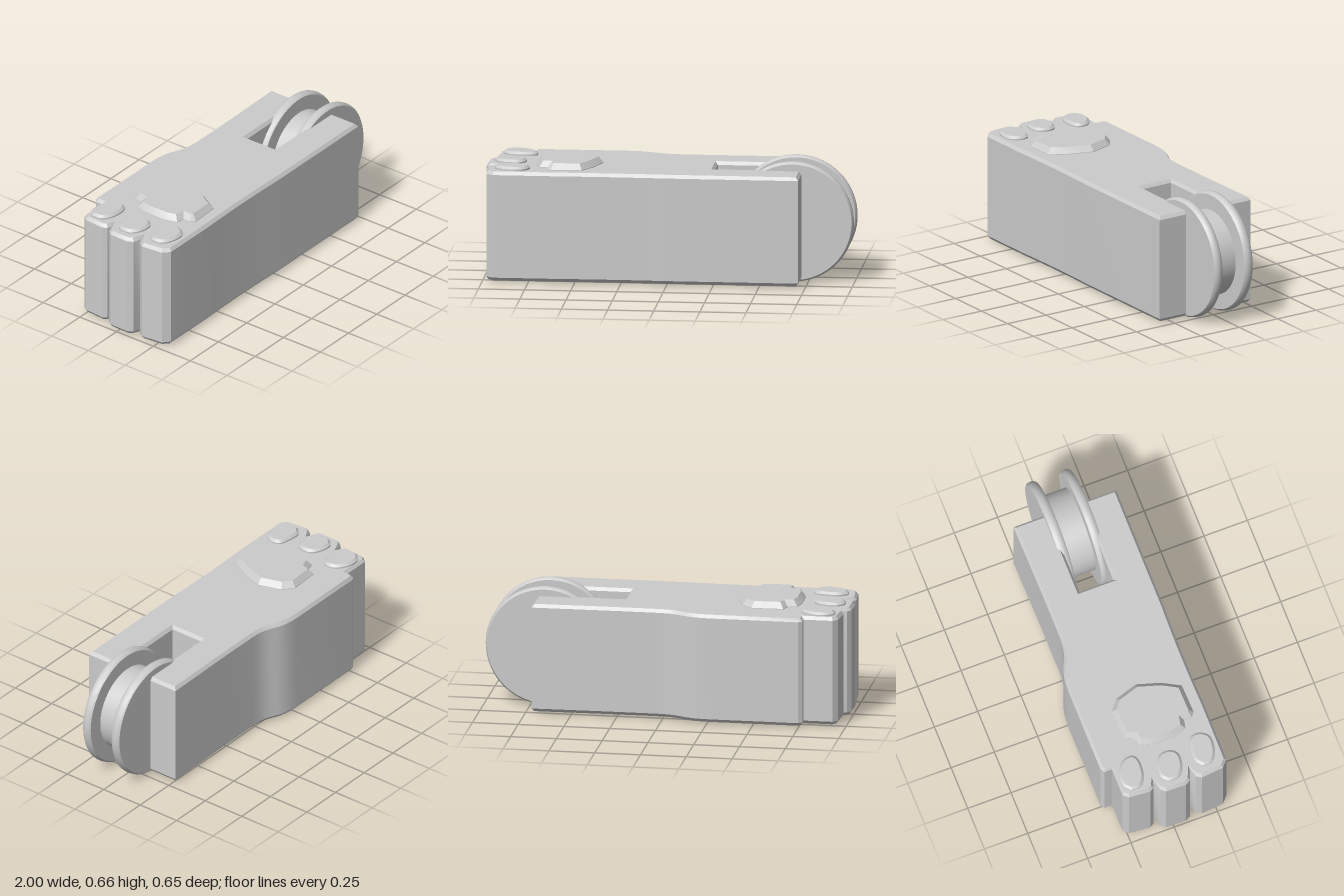
import * as THREE from 'three';
import { toCreasedNormals } from 'three/addons/utils/BufferGeometryUtils.js';

const grey = new THREE.MeshStandardMaterial({ color: 0xcccccc });

function mesh(name, geometry, crease = 0.6) {
  const m = new THREE.Mesh(toCreasedNormals(geometry, crease), grey);
  m.name = name;
  return m;
}

// Upright slab from a plan outline in (x, z), between two heights, with bevelled rims
function slab(shape, bottom, top, bevel, rise, bevelSegments = 1) {
  const g = new THREE.ExtrudeGeometry(shape, {
    depth: top - bottom - 2 * rise, curveSegments: 10, bevelEnabled: true,
    bevelSize: bevel, bevelOffset: -bevel, bevelThickness: rise, bevelSegments,
  });
  g.rotateX(Math.PI / 2);
  g.translate(0, top - rise, 0);
  return g;
}

const vecs = (list) => list.map(([x, z]) => new THREE.Vector2(x, z));

// Block with three toes at one end and a wheel slot at the other
function bodyShape() {
  const s = new THREE.Shape();
  s.moveTo(0.715, 0.325);
  s.lineTo(0.715, 0.125);
  s.lineTo(0.24, 0.125);
  s.lineTo(0.24, -0.07);
  s.lineTo(0.715, -0.07);
  s.lineTo(0.715, -0.268);
  s.lineTo(0.3, -0.262);
  s.lineTo(0.04, -0.262);
  s.bezierCurveTo(-0.12, -0.262, -0.1, -0.33, -0.27, -0.33);
  s.lineTo(-0.75, -0.33);
  s.lineTo(-0.772, -0.315);
  s.lineTo(-0.772, -0.272);
  const toes = [
    [-0.93, -0.272], [-0.955, -0.245], [-0.965, -0.125], [-0.95, -0.1],
    [-0.915, -0.09], [-0.975, -0.07], [-0.995, -0.045], [-0.998, 0.07], [-0.98, 0.1],
    [-0.925, 0.118], [-0.97, 0.135], [-0.99, 0.165], [-0.978, 0.29], [-0.94, 0.325],
  ];
  toes.forEach(([x, z]) => s.lineTo(x, z));
  s.lineTo(-0.6, 0.325);
  s.bezierCurveTo(-0.4, 0.318, -0.2, 0.318, 0, 0.325);
  return s;
}

// Smooth bean outline through a few points about a centre
function beanShape(cx, cz, w, d, skew) {
  const loop = [[-1, -0.5], [-0.55, -1], [0.2, -0.95], [0.85, -0.5 + skew],
    [0.95, 0.35 + skew], [0.5, 0.95], [-0.4, 0.85], [-0.95, 0.3]];
  const pts = vecs(loop.map(([x, z]) => [cx + x * w / 2, cz + z * d / 2]));
  const curve = new THREE.SplineCurve([...pts, pts[0]]);
  return new THREE.Shape(curve.getPoints(32).slice(0, -1));
}

export function createModel() {
  const model = new THREE.Group();
  model.name = 'pawBlockWithWheel';

  model.add(mesh('body', slab(bodyShape(), 0.01, 0.61, 0.014, 0.018), 0.5));

  // Toe pads
  const pads = new THREE.Group();
  pads.name = 'toePads';
  [[-0.835, -0.185, 0.19, 0.14, 0.2], [-0.868, 0.025, 0.17, 0.145, 0], [-0.842, 0.225, 0.19, 0.135, -0.15]]
    .forEach((p, i) => pads.add(mesh(`toePad${i + 1}`, slab(beanShape(...p), 0.585, 0.63, 0.014, 0.012))));
  model.add(pads);

  // Large faceted palm pad
  const palm = new THREE.Shape(vecs([
    [-0.64, -0.15], [-0.47, -0.157], [-0.41, -0.11], [-0.37, 0.02], [-0.41, 0.15],
    [-0.465, 0.25], [-0.63, 0.255], [-0.655, 0.235], [-0.655, 0.19], [-0.7, 0.18],
    [-0.722, 0.11], [-0.722, -0.02], [-0.705, -0.085], [-0.655, -0.1],
  ]));
  model.add(mesh('palmPad', slab(palm, 0.56, 0.645, 0.026, 0.032), 0.4));

  // Flanged wheel lying across the slot
  const R = 0.33, hub = 0.235, c = 0.01;
  const rim = (a, b) => [[R - 0.012, a], [R - 0.003, a + c], [R, (a + b) / 2], [R - 0.003, b - c], [R - 0.012, b]];
  const profile = vecs([
    [0, -0.097], ...rim(-0.097, -0.043), [hub, -0.043],
    [hub, 0.1], ...rim(0.1, 0.152), [0, 0.152],
  ]);
  const wheel = mesh('wheel', new THREE.LatheGeometry(profile, 72).rotateX(Math.PI / 2), 0.7);
  wheel.position.set(0.668, 0.33, 0);
  model.add(wheel);

  return model;
}
